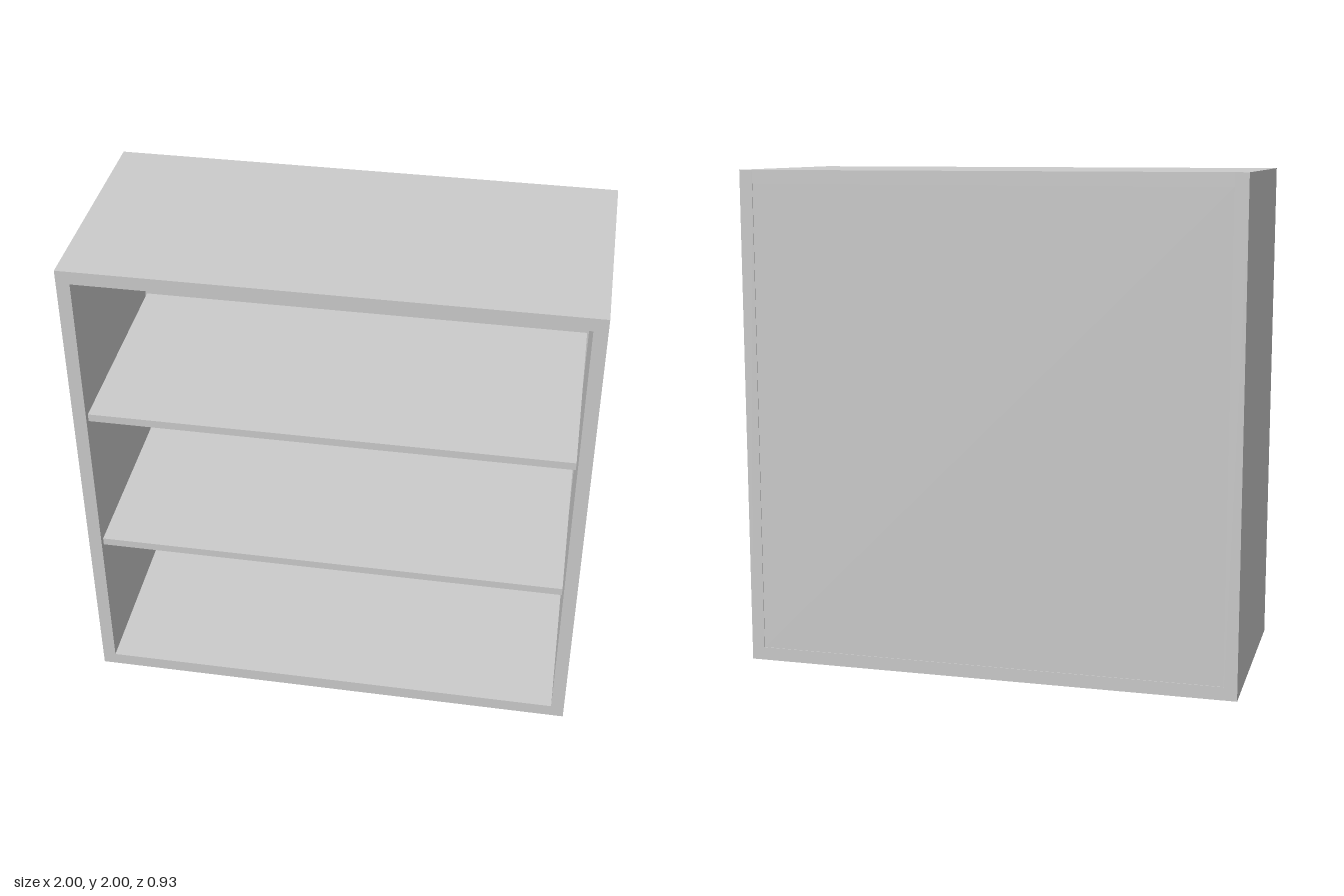
import * as THREE from 'three';

export function createModel() {
  const model = new THREE.Group();
  model.name = 'openCabinet';
  const material = new THREE.MeshStandardMaterial({ color: 0xcccccc });

  const depth = 0.934, board = 0.053, inner = 2 - 2 * board;
  const backThickness = 0.045, backInset = 0.003;

  // A flat board given by its size and centre
  function addBoard(name, w, h, d, x, y, z) {
    const mesh = new THREE.Mesh(new THREE.BoxGeometry(w, h, d), material);
    mesh.name = name;
    mesh.position.set(x, y, z);
    model.add(mesh);
  }

  // Full-height side panels
  for (const [name, s] of [['leftSide', 1], ['rightSide', -1]]) {
    addBoard(name, board, 2, depth, s * (1 - board / 2), 1, 0);
  }

  // Top and bottom boards between the sides
  addBoard('topBoard', inner, board, depth, 0, 2 - board / 2, 0);
  addBoard('bottomBoard', inner, board, depth, 0, board / 2, 0);

  // Back panel set between the boards
  const backZ = -depth / 2 + backInset;
  addBoard('backPanel', inner, inner, backThickness, 0, 1, backZ + backThickness / 2);

  // Thinner shelves with a small gap at each end
  const shelfBack = backZ + backThickness, shelfFront = depth / 2 - 0.005;
  for (const [name, y] of [['lowerShelf', 0.702], ['upperShelf', 1.338]]) {
    addBoard(name, 1.88, 0.032, shelfFront - shelfBack, 0, y, (shelfFront + shelfBack) / 2);
  }

  return model;
}
